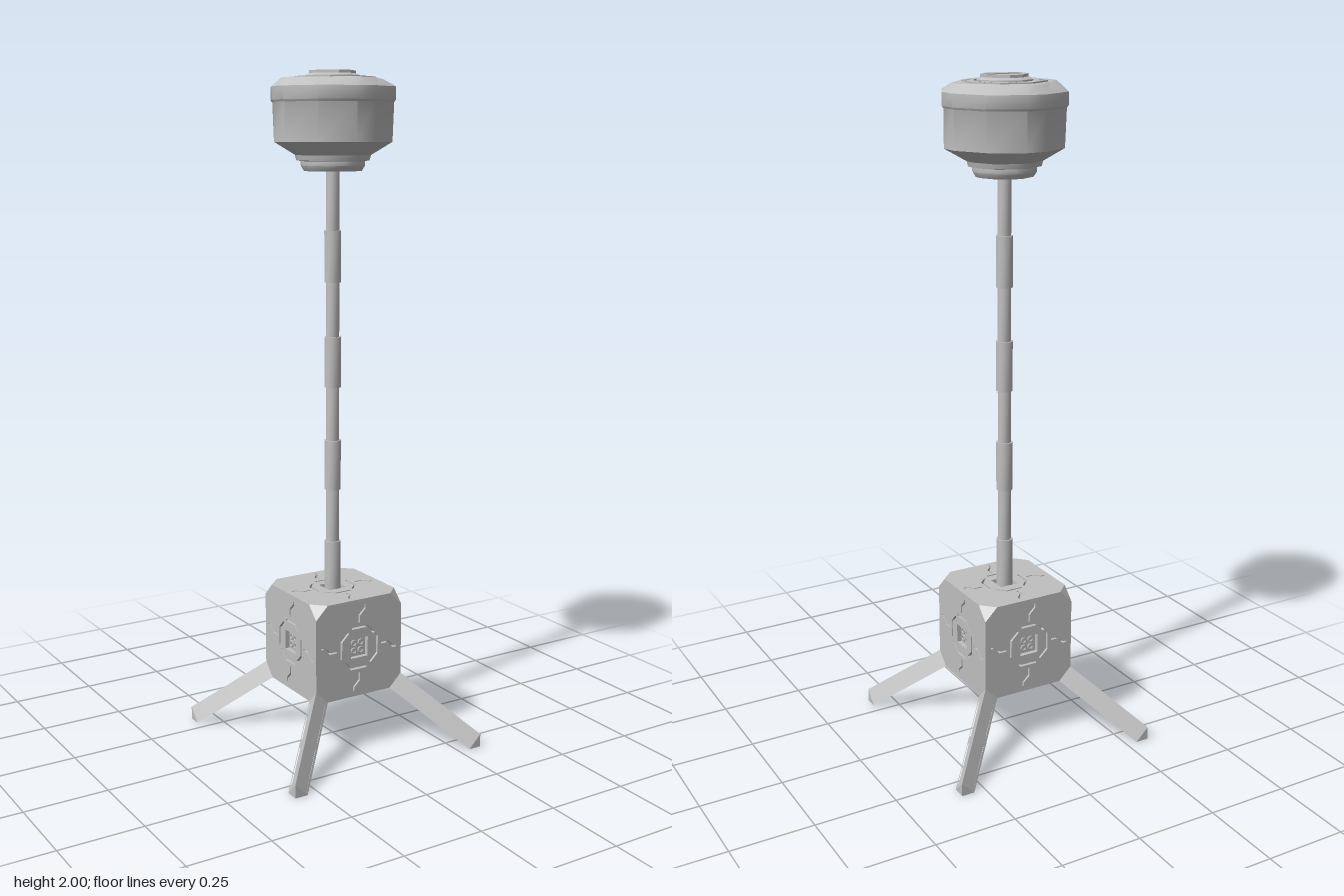
import * as THREE from 'three';
import { toCreasedNormals } from 'three/addons/utils/BufferGeometryUtils.js';
import { ConvexGeometry } from 'three/addons/geometries/ConvexGeometry.js';

const grey = new THREE.MeshStandardMaterial({ color: 0xc0c0c0 });
grey.name = 'plainGrey';

const HALF = 0.15, CUT = 0.04, MID = 0.325, DEPTH = 0.014;
const V = (x, y, z) => new THREE.Vector3(x, y, z);

function add(parent, name, geometry, x = 0, y = 0, z = 0) {
  const mesh = new THREE.Mesh(geometry, grey);
  mesh.name = name;
  mesh.position.set(x, y, z);
  parent.add(mesh);
  return mesh;
}

function group(parent, name) {
  const g = new THREE.Group();
  g.name = name;
  parent.add(g);
  return g;
}

const points = (list, turn = 0) =>
  list.map(([x, y]) => new THREE.Vector2(x, y).rotateAround(new THREE.Vector2(), turn));
const rect = (x0, y0, x1, y1) => [[x0, y0], [x1, y0], [x1, y1], [x0, y1]];
const extrude = (shape, depth) =>
  new THREE.ExtrudeGeometry(shape, { depth, bevelEnabled: false, curveSegments: 10 });

// Square with its four corners cut
function cutSquare(half, cut) {
  const i = half - cut;
  return [[i, -half], [half, -i], [half, i], [i, half], [-i, half], [-half, i], [-half, -i], [-i, -half]];
}

// Twelve-sided loft; rings are [radius, y, radius on the diagonals]
function loft(rings) {
  const angles = [];
  for (let q = 0; q < 4; q++) for (const a of [9.5, 45, 80.5]) angles.push(((q * 90 + a) * Math.PI) / 180);
  const pos = [], idx = [], n = angles.length;
  rings.forEach(([r, y, d = r], i) => angles.forEach((a, j) => {
    const radius = j % 3 === 1 ? d : r;
    pos.push(radius * Math.cos(a), y, radius * Math.sin(a));
    if (i === rings.length - 1) return;
    const p = i * n + j, q = i * n + ((j + 1) % n);
    idx.push(p, p + n, q, q, p + n, q + n);
  }));
  const g = new THREE.BufferGeometry();
  g.setAttribute('position', new THREE.Float32BufferAttribute(pos, 3));
  g.setIndex(idx);
  return toCreasedNormals(g, 0.7);
}

// Cube face with panel grooves and a square socket
function facePlate(detailed) {
  const shape = new THREE.Shape(points(cutSquare(HALF, CUT)));
  if (detailed) {
    shape.holes.push(new THREE.Path(points(rect(-0.03, -0.03, 0.03, 0.03))));
    for (let k = 0; k < 4; k++) {
      const cuts = [
        [[-0.026, 0.06], [0.026, 0.06], [0.05, 0.036], [0.054, 0.04], [0.029, 0.066], [-0.026, 0.066]],
        [[-0.0025, 0.078], [0.0025, 0.078], [0.0025, 0.1], [0.022, 0.12], [0.022, 0.132], [0.017, 0.132], [0.017, 0.122], [-0.0025, 0.103]],
        rect(-0.1, 0.139, -0.02, 0.143),
        rect(0.03, 0.139, 0.1, 0.143),
      ];
      for (const c of cuts) shape.holes.push(new THREE.Path(points(c, (k * Math.PI) / 2)));
    }
  }
  return extrude(shape, DEPTH);
}

function buildBase(parent) {
  const base = group(parent, 'baseCube');
  base.position.y = MID;
  const inner = 2 * (HALF - DEPTH), i = HALF - CUT;
  add(base, 'cubeCore', new THREE.BoxGeometry(inner, inner, inner));
  const panel = facePlate(true);
  const ring = new THREE.TorusGeometry(0.0085, 0.003, 6, 8);
  const corner = new ConvexGeometry([V(HALF, HALF, i), V(i, HALF, HALF), V(HALF, i, HALF), V(i, i, i)]);
  for (let k = 0; k < 4; k++) {
    const side = group(base, 'cubeSide');
    side.rotation.y = (k * Math.PI) / 2;
    add(side, 'sidePanel', panel, 0, 0, HALF - DEPTH);
    // Four small ports in the socket
    for (const x of [-0.012, 0.012]) for (const y of [-0.012, 0.012])
      add(side, 'port', ring, x, y, HALF - DEPTH + 0.002);
    add(side, 'topCorner', corner);
  }
  add(base, 'topPanel', panel, 0, HALF - DEPTH, 0).rotation.x = -Math.PI / 2;
  add(base, 'bottomPanel', facePlate(false), 0, DEPTH - HALF, 0).rotation.x = Math.PI / 2;
}

// Triangular legs that continue the cut lower corners along the cube diagonal
function buildLegs(parent) {
  const low = MID - HALF, i = HALF - CUT;
  const tri = [V(i, low, HALF), V(HALF, low, i), V(HALF, low + CUT, HALF)];
  const travel = V(low, -low, low), length = travel.length();
  const end = tri.map((p) => p.clone().add(travel));
  const centre = tri[0].clone().add(tri[1]).add(tri[2]).divideScalar(3);
  const coreTri = tri.map((p) => p.clone().lerp(centre, 0.2));
  const core = new ConvexGeometry([...coreTri, ...coreTri.map((p) => p.clone().add(travel))]);
  const foot = new ConvexGeometry([...end, V(HALF + low, 0, HALF + low)]);

  // Frame with two long openings, laid on each side of the prism
  const width = tri[0].distanceTo(tri[1]);
  const frame = new THREE.Shape(points(rect(0, 0, width, length)));
  const a = 0.008, b = width - a;
  frame.holes.push(new THREE.Path(points(rect(a, 0.02, b, length * 0.46))));
  frame.holes.push(new THREE.Path(points([[a, length * 0.54], [b, length * 0.54], [b, length - 0.02],
    [b - 0.01, length - 0.006], [a + 0.01, length - 0.006], [a, length - 0.02]])));
  const frames = tri.map((p, k) => {
    const u = tri[(k + 1) % 3].clone().sub(p).normalize(), v = travel.clone().normalize();
    const m = new THREE.Matrix4().makeBasis(u, v, u.clone().cross(v)).setPosition(p);
    return new THREE.ShapeGeometry(frame).applyMatrix4(m);
  });
  for (let k = 0; k < 4; k++) {
    const leg = group(parent, 'leg');
    leg.rotation.y = (k * Math.PI) / 2;
    add(leg, 'legCore', core);
    add(leg, 'foot', foot);
    for (const f of frames) add(leg, 'legFrame', f);
  }
}

// Pole with alternating thick sleeves and thin sections
function buildPole(parent) {
  const pole = group(parent, 'pole');
  const stops = [0.46, 0.62, 0.78, 0.93, 1.09, 1.24, 1.4, 1.55, 1.74];
  for (let k = 0; k < stops.length - 1; k++) {
    const h = stops[k + 1] - stops[k], r = k % 2 ? 0.02 : 0.025;
    const g = toCreasedNormals(new THREE.CylinderGeometry(r, r, h, 10), 0.8);
    add(pole, k % 2 ? 'poleSection' : 'poleSleeve', g, 0, stops[k] + h / 2, 0);
  }
}

function buildHead(parent) {
  const head = group(parent, 'head');
  add(head, 'headShell', loft([
    [0, 1.72], [0.085, 1.72], [0.095, 1.735], [0.095, 1.748], [0.108, 1.75], [0.112, 1.765],
    [0.178, 1.802, 0.174], [0.178, 1.912], [0.183, 1.918], [0.183, 1.955],
    [0.156, 1.979, 0.13], [0, 1.979],
  ]));

  // Vent ring with radial slots
  const ring = [], slot = rect(0.095, -0.0025, 0.11, 0.0025);
  for (let k = 0; k < 8; k++) ring.push([0.121 * Math.cos(k * Math.PI / 4), 0.121 * Math.sin(k * Math.PI / 4)]);
  const vent = new THREE.Shape(points(ring, 0.17));
  vent.holes.push(new THREE.Path().absarc(0, 0, 0.086, 0, Math.PI * 2));
  for (let k = 0; k < 36; k++) vent.holes.push(new THREE.Path(points(slot, (k * Math.PI) / 18)));
  add(head, 'ventRing', extrude(vent, 0.005), 0, 1.978, 0).rotation.x = -Math.PI / 2;

  // Raised cap with a rectangular recess
  add(head, 'capBase', loft([
    [0.081, 1.975], [0.081, 1.986], [0.072, 1.992, 0.066], [0, 1.992],
  ]));
  const cap = new THREE.Shape(points(cutSquare(0.066, 0.046)));
  cap.holes.push(new THREE.Path(points(rect(-0.057, -0.019, 0.057, 0.019))));
  add(head, 'capPlate', extrude(cap, 0.009), 0, 1.991, 0).rotation.x = -Math.PI / 2;
}

export function createModel() {
  const model = new THREE.Group();
  model.name = 'lampPost';
  buildBase(model);
  buildLegs(model);
  buildPole(model);
  buildHead(model);
  return model;
}
